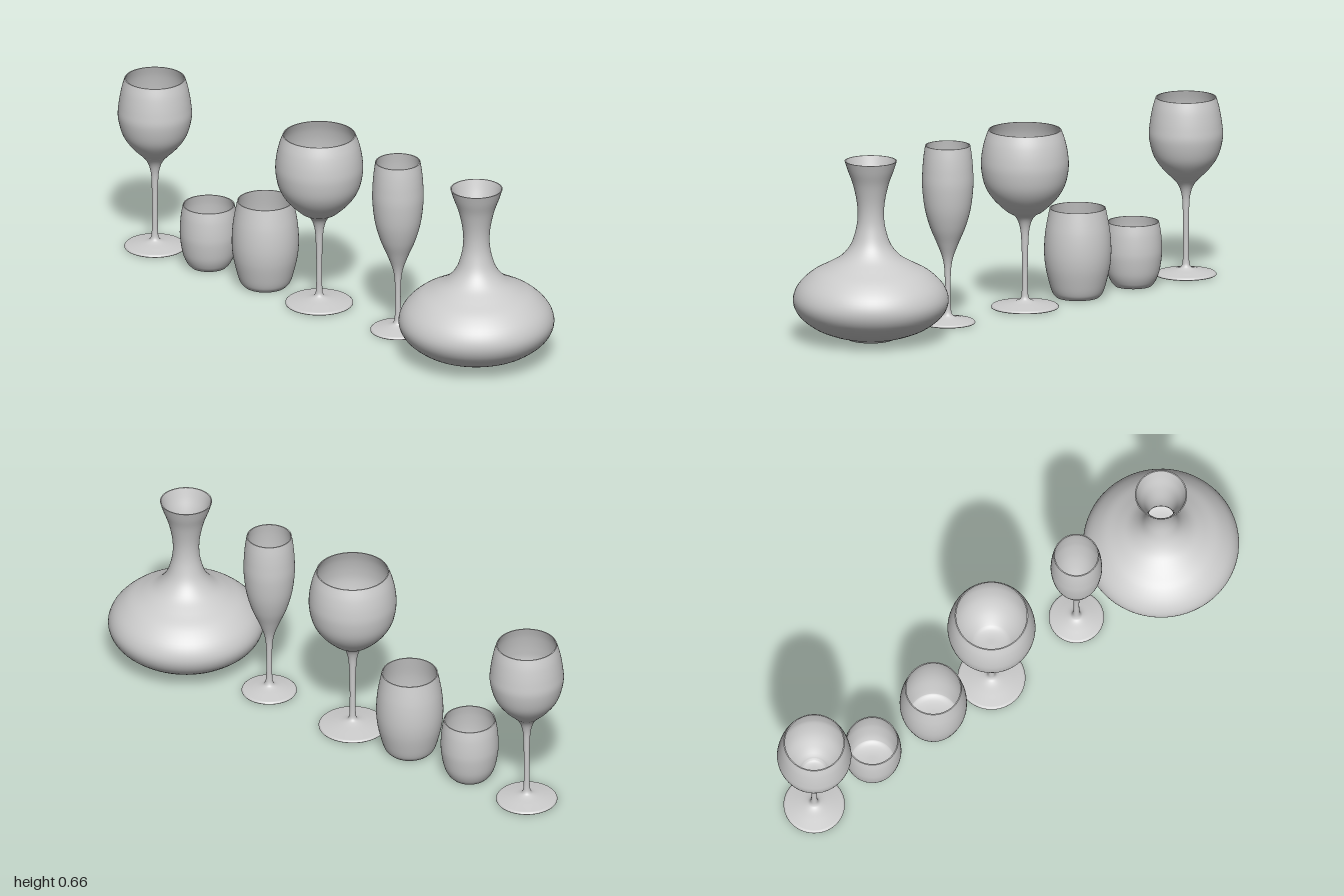
import * as THREE from 'three';
import { mergeGeometries } from 'three/addons/utils/BufferGeometryUtils.js';

const material = new THREE.MeshStandardMaterial({ color: 0xcccccc, side: THREE.DoubleSide });
const WALL = 0.004;

// Smooth curve through [radius, height] pairs
function smooth(pairs, samples) {
  const curve = new THREE.SplineCurve(pairs.map(([r, y]) => new THREE.Vector2(r, y)));
  return curve.getPoints(samples).map(p => new THREE.Vector2(Math.max(p.x, 0), p.y));
}

// Each strip is turned on its own, so the edges between strips stay crisp
function turn(name, x, strips) {
  const parts = strips.map(points => new THREE.LatheGeometry(points, 64));
  const mesh = new THREE.Mesh(mergeGeometries(parts), material);
  mesh.name = name;
  mesh.position.x = x;
  return mesh;
}

// Inner wall: the outer wall above a given floor, moved inwards and closed at the axis
function lining(outer, floor) {
  const wall = outer.filter(p => p.y > floor + 0.012)
    .map(p => new THREE.Vector2(Math.max(p.x - WALL, 0.002), p.y)).reverse();
  const last = wall[wall.length - 1];
  const bottom = smooth([[last.x, last.y], [last.x * 0.8, floor + 0.005], [last.x * 0.4, floor], [0, floor]], 8);
  return [...wall, ...bottom.slice(1)];
}

function rim(outer) {
  const top = outer[outer.length - 1];
  return [top.clone(), new THREE.Vector2(top.x - WALL, top.y)];
}

// Glass with a round foot, a thin stem and a bowl
function stemGlass(name, x, footRadius, bowl, floor) {
  const f = footRadius;
  const underside = [[0, 0.003], [f - 0.008, 0.002]].map(p => new THREE.Vector2(...p));
  const edge = smooth([[f - 0.008, 0.002], [f - 0.001, 0.003], [f, 0.007], [f - 0.005, 0.012]], 10);
  const outer = smooth([
    [f - 0.005, 0.012], [f * 0.6, 0.019], [f * 0.28, 0.026], [0.016, 0.036],
    [0.0115, 0.06], [0.0105, 0.11], [0.0105, 0.16], ...bowl,
  ], 90);
  return turn(name, x, [underside, [...edge, ...outer.slice(1)], rim(outer), lining(outer, floor)]);
}

// Stemless vessel standing on a ring with a shallow hollow inside it
function vessel(name, x, base, hollow, profile, floor) {
  const outer = smooth(profile, 72);
  const underside = smooth([[0, hollow], [base * 0.5, hollow * 0.9], [base * 0.78, hollow * 0.4], [base * 0.9, 0.001], [base, 0.002]], 20);
  return turn(name, x, [[...underside, ...outer.slice(1)], rim(outer), lining(outer, floor)]);
}

export function createModel() {
  const group = new THREE.Group();
  group.name = 'glasswareSet';

  group.add(stemGlass('wineGlass', -0.865, 0.111, [
    [0.0115, 0.24], [0.016, 0.3], [0.034, 0.345], [0.083, 0.395], [0.117, 0.445],
    [0.134, 0.51], [0.132, 0.56], [0.122, 0.62], [0.11, 0.662],
  ], 0.35));

  group.add(stemGlass('largeWineGlass', -0.057, 0.123, [
    [0.0125, 0.24], [0.018, 0.3], [0.035, 0.34], [0.07, 0.363], [0.118, 0.41], [0.147, 0.46],
    [0.159, 0.52], [0.157, 0.57], [0.147, 0.62], [0.132, 0.662],
  ], 0.355));

  group.add(stemGlass('fluteGlass', 0.33, 0.1, [
    [0.013, 0.21], [0.021, 0.25], [0.04, 0.3], [0.065, 0.36], [0.084, 0.43],
    [0.093, 0.51], [0.092, 0.57], [0.088, 0.62], [0.082, 0.662],
  ], 0.255));

  group.add(vessel('shortTumbler', -0.6, 0.066, 0.006, [
    [0.066, 0.002], [0.081, 0.02], [0.095, 0.055], [0.104, 0.11],
    [0.105, 0.15], [0.101, 0.2], [0.094, 0.24],
  ], 0.012));

  group.add(vessel('tallTumbler', -0.322, 0.077, 0.006, [
    [0.077, 0.002], [0.092, 0.02], [0.105, 0.06], [0.118, 0.12],
    [0.122, 0.18], [0.117, 0.25], [0.102, 0.332],
  ], 0.012));

  group.add(vessel('decanter', 0.716, 0.084, 0.022, [
    [0.084, 0.002], [0.1, 0.01], [0.15, 0.024], [0.21, 0.05], [0.263, 0.094], [0.283, 0.145],
    [0.266, 0.197], [0.218, 0.245], [0.16, 0.277], [0.11, 0.307], [0.074, 0.35], [0.055, 0.405],
    [0.048, 0.455], [0.051, 0.51], [0.065, 0.575], [0.083, 0.625], [0.095, 0.662],
  ], 0.03));

  return group;
}
